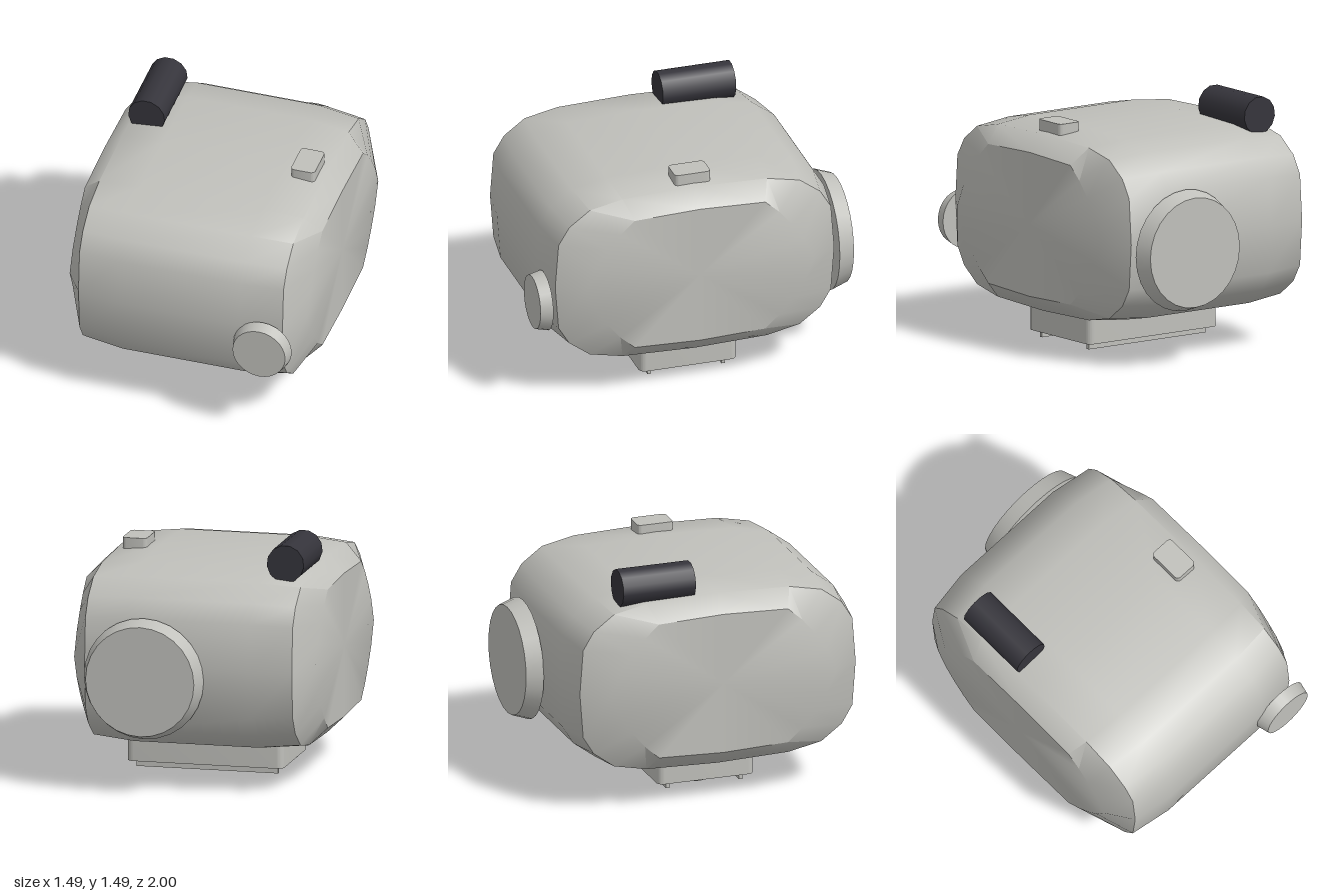
import * as THREE from 'three';
import { toCreasedNormals } from 'three/addons/utils/BufferGeometryUtils.js';

const casing = new THREE.MeshStandardMaterial({ name: 'casing grey', color: 0xc0c0bb });
const dark = new THREE.MeshStandardMaterial({ name: 'dark grip', color: 0x35343b });

// Quarter outlines [z, y] from top centre to the side, relative to the body centre
const FULL = [[0, 0.565], [0.475, 0.55], [0.69, 0.505], [0.825, 0.405], [0.895, 0.29], [0.917, 0]];
const END = [[0, 0.44], [0.41, 0.425], [0.5, 0.345], [0.58, 0.25], [0.655, 0.14], [0.717, 0]];
const CY = 0.77, CZ = 0.015;

// Mirror a quarter outline into a full loop
function loop(quarter) {
  const last = quarter.length - 1;
  const half = [...quarter, ...quarter.slice(0, last).reverse().map(([z, y]) => [z, -y])];
  return [...half, ...half.slice(1, -1).reverse().map(([z, y]) => [-z, y])];
}

// Rounded body lofted through cross-sections along x, closed with flat ends
function bodyGeometry() {
  const shoulder = FULL.map(([z, y]) => [z * 0.957, y * 0.957]);
  const stations = [[-0.745, END], [-0.64, shoulder], [-0.38, FULL], [0.38, FULL], [0.64, shoulder], [0.745, END]];
  const rings = stations.map(([x, q]) => loop(q).map(([z, y]) => [x, CY + y, CZ + z]));
  const n = rings[0].length, pos = [];
  const tri = (a, b, c) => pos.push(...a, ...b, ...c);
  for (let j = 0; j < n; j++) {
    const k = (j + 1) % n;
    for (let i = 0; i < rings.length - 1; i++) {
      const r = rings[i], s = rings[i + 1];
      tri(r[j], r[k], s[j]);
      tri(s[j], r[k], s[k]);
    }
    const first = rings[0], end = rings[rings.length - 1];
    tri([-0.745, CY, CZ], first[k], first[j]);
    tri([0.745, CY, CZ], end[j], end[k]);
  }
  const g = new THREE.BufferGeometry();
  g.setAttribute('position', new THREE.Float32BufferAttribute(pos, 3));
  return toCreasedNormals(g, THREE.MathUtils.degToRad(40));
}

// Upright block with rounded vertical corners
function roundedBlock(x0, x1, y0, y1, z0, z1, r) {
  const w = (x1 - x0) / 2, d = (z1 - z0) / 2;
  const s = new THREE.Shape();
  s.moveTo(-w + r, -d);
  s.lineTo(w - r, -d);
  s.absarc(w - r, -d + r, r, -Math.PI / 2, 0);
  s.absarc(w - r, d - r, r, 0, Math.PI / 2);
  s.absarc(-w + r, d - r, r, Math.PI / 2, Math.PI);
  s.absarc(-w + r, -d + r, r, Math.PI, Math.PI * 1.5);
  const g = new THREE.ExtrudeGeometry(s, { depth: y1 - y0, bevelEnabled: false, curveSegments: 5 });
  g.rotateX(-Math.PI / 2).translate((x0 + x1) / 2, y0, (z0 + z1) / 2);
  return toCreasedNormals(g, 0.6);
}

// Cylinder or cone frustum lying along z
function alongZ(x, y, z0, z1, r0, r1, sides) {
  return new THREE.CylinderGeometry(r1, r0, z1 - z0, sides)
    .rotateX(Math.PI / 2).translate(x, y, (z0 + z1) / 2);
}

export function createModel() {
  const model = new THREE.Group();
  const add = (name, geometry, material = casing) => {
    const mesh = new THREE.Mesh(geometry, material);
    mesh.name = name;
    model.add(mesh);
  };

  add('body', bodyGeometry());

  // Tapered discs on the front and back
  add('frontKnob', alongZ(0.525, 0.635, 0.925, 1, 0.183, 0.165, 28));
  add('backDisc', alongZ(0.265, 0.7, -1, -0.9, 0.335, 0.37, 28));

  // Top fittings
  add('topCylinder', alongZ(-0.53, 1.378, -0.585, -0.125, 0.115, 0.115, 13), dark);
  add('topButton', roundedBlock(0.45, 0.6, 1.25, 1.38, -0.1, 0.125, 0.025));

  // Mounting foot with two rails and a locating pin
  add('foot', roundedBlock(-0.44, 0.525, 0.055, 0.3, -0.29, 0.32, 0.04));
  for (const z of [0.25, -0.215]) {
    add('footRail', new THREE.BoxGeometry(0.875, 0.05, 0.022).translate(0.0425, 0.037, z));
  }
  add('footPin', new THREE.CylinderGeometry(0.046, 0.046, 0.06, 8).translate(-0.265, 0.03, 0.017));

  return model;
}
